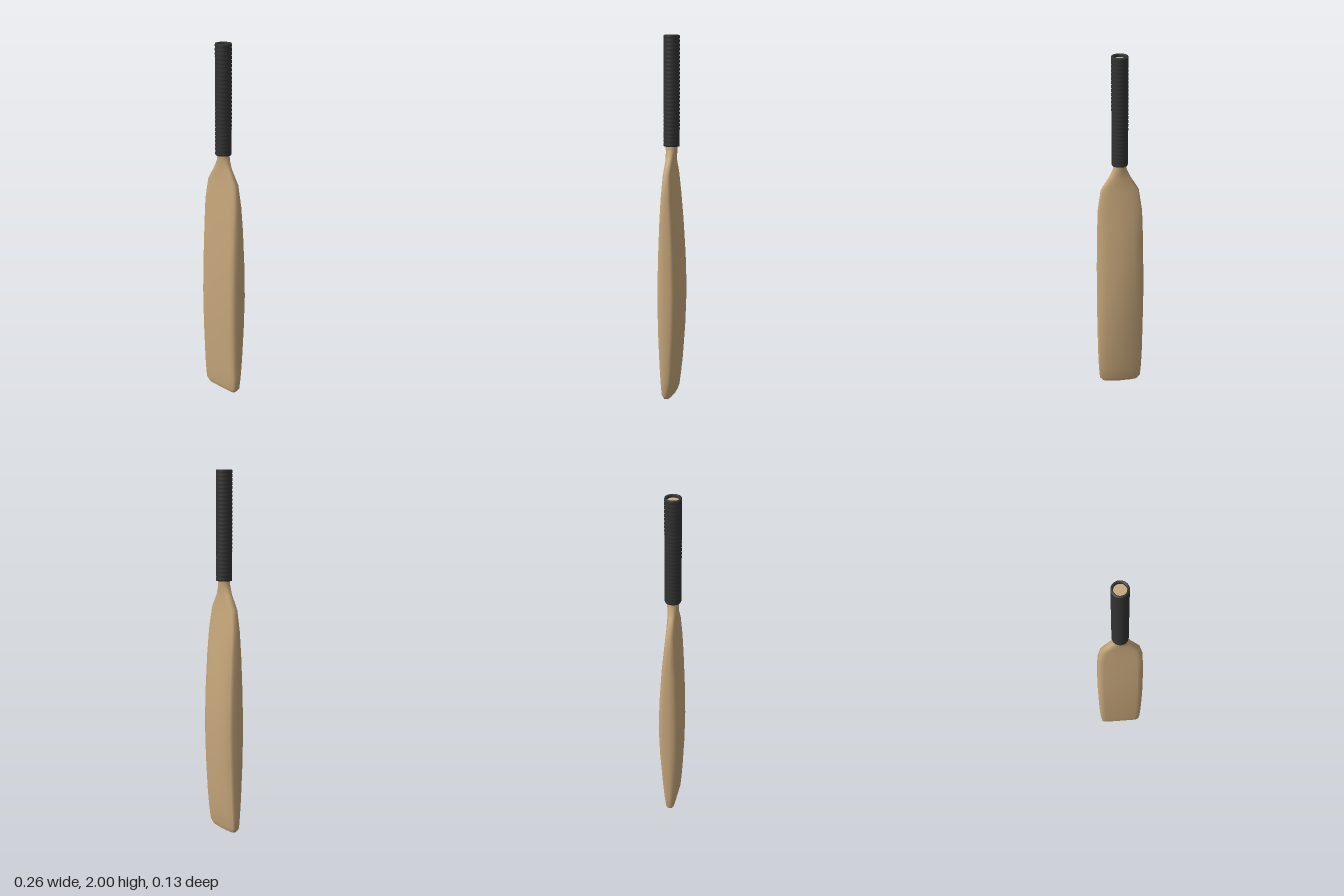
import * as THREE from 'three';

const wood = new THREE.MeshStandardMaterial({ color: 0xc8a87c });
wood.name = 'willow wood';
const rubber = new THREE.MeshStandardMaterial({ color: 0x333333 });
rubber.name = 'black rubber';

const AXIS_Z = 0.01; // handle axis

// Half cross-section of the blade, front centre to ridge, in units of half width and half depth
const PROFILE = [
  [0, 1], [0.72, 0.99], [0.88, 0.9], [0.975, 0.68], [1, 0.3],
  [1, -0.3], [0.92, -0.56], [0.61, -0.82], [0, -1],
];

// Stations up the bat: y, half width, front z, back z, roundness (1 = ellipse)
const STATIONS = [
  [0.0, 0.1, 0.032, -0.008, 0],
  [0.025, 0.12, 0.04, -0.018, 0],
  [0.1, 0.125, 0.046, -0.03, 0],
  [0.2, 0.128, 0.052, -0.042, 0],
  [0.4, 0.13, 0.061, -0.058, 0],
  [0.6, 0.131, 0.064, -0.066, 0],
  [0.8, 0.129, 0.06, -0.059, 0],
  [1.0, 0.125, 0.052, -0.045, 0],
  [1.14, 0.12, 0.044, -0.03, 0],
  [1.26, 0.103, 0.037, -0.018, 0.15],
  [1.335, 0.058, 0.036, -0.016, 0.5],
  [1.38, 0.038, 0.04, -0.02, 0.9],
  [1.41, 0.033, 0.043, -0.023, 1],
  [1.44, 0.033, 0.043, -0.023, 1],
];

function section([y, w, front, back, round]) {
  const n = PROFILE.length - 1;
  const mid = (front + back) / 2, depth = (front - back) / 2;
  const ring = [];
  for (let i = 0; i < n * 2; i++) {
    const k = i <= n ? i : n * 2 - i;
    const side = i <= n ? 1 : -1;
    const a = (k / n) * Math.PI;
    const u = THREE.MathUtils.lerp(PROFILE[k][0], Math.sin(a), round);
    const v = THREE.MathUtils.lerp(PROFILE[k][1], Math.cos(a), round);
    ring.push([side * u * w, y, mid + v * depth]);
  }
  return ring;
}

// Smooth skin through all stations, with a flat toe
function bladeGeometry() {
  const rings = STATIONS.map(section);
  const n = rings[0].length;
  const points = rings.flat();
  const index = [];
  for (let r = 0; r < rings.length - 1; r++) {
    for (let i = 0; i < n; i++) {
      const a = r * n + i, b = r * n + ((i + 1) % n);
      index.push(a, b, b + n, a, b + n, a + n);
    }
  }
  const base = points.length; // separate toe vertices keep its edge sharp
  points.push(...rings[0], [0, 0, 0.012]);
  for (let i = 0; i < n; i++) index.push(base + n, base + ((i + 1) % n), base + i);
  const geometry = new THREE.BufferGeometry();
  geometry.setAttribute('position', new THREE.Float32BufferAttribute(points.flat(), 3));
  geometry.setIndex(index);
  geometry.computeVertexNormals();
  return geometry;
}

// Ribbed sleeve, open at the top
function gripGeometry() {
  const bottom = 1.41, top = 2, ribs = 28, step = (top - bottom) / ribs;
  const profile = [new THREE.Vector2(0.032, bottom), new THREE.Vector2(0.042, bottom)];
  for (let i = 0; i < ribs; i++) {
    const y = bottom + i * step;
    profile.push(new THREE.Vector2(0.044, y + step * 0.25));
    profile.push(new THREE.Vector2(0.044, y + step * 0.75));
    profile.push(new THREE.Vector2(0.042, y + step));
  }
  profile.push(new THREE.Vector2(0.034, top), new THREE.Vector2(0.032, top - 0.006));
  profile.push(new THREE.Vector2(0.032, top - 0.03));
  return new THREE.LatheGeometry(profile, 32);
}

export function createModel() {
  const bat = new THREE.Group();
  bat.name = 'bat';
  const add = (name, geometry, material, y = 0, z = 0) => {
    const mesh = new THREE.Mesh(geometry, material);
    mesh.name = name;
    mesh.position.set(0, y, z);
    bat.add(mesh);
  };

  add('blade', bladeGeometry(), wood);
  add('handleCore', new THREE.CylinderGeometry(0.0325, 0.0325, 0.56, 32), wood, 1.705, AXIS_Z);
  add('grip', gripGeometry(), rubber, 0, AXIS_Z);
  return bat;
}
